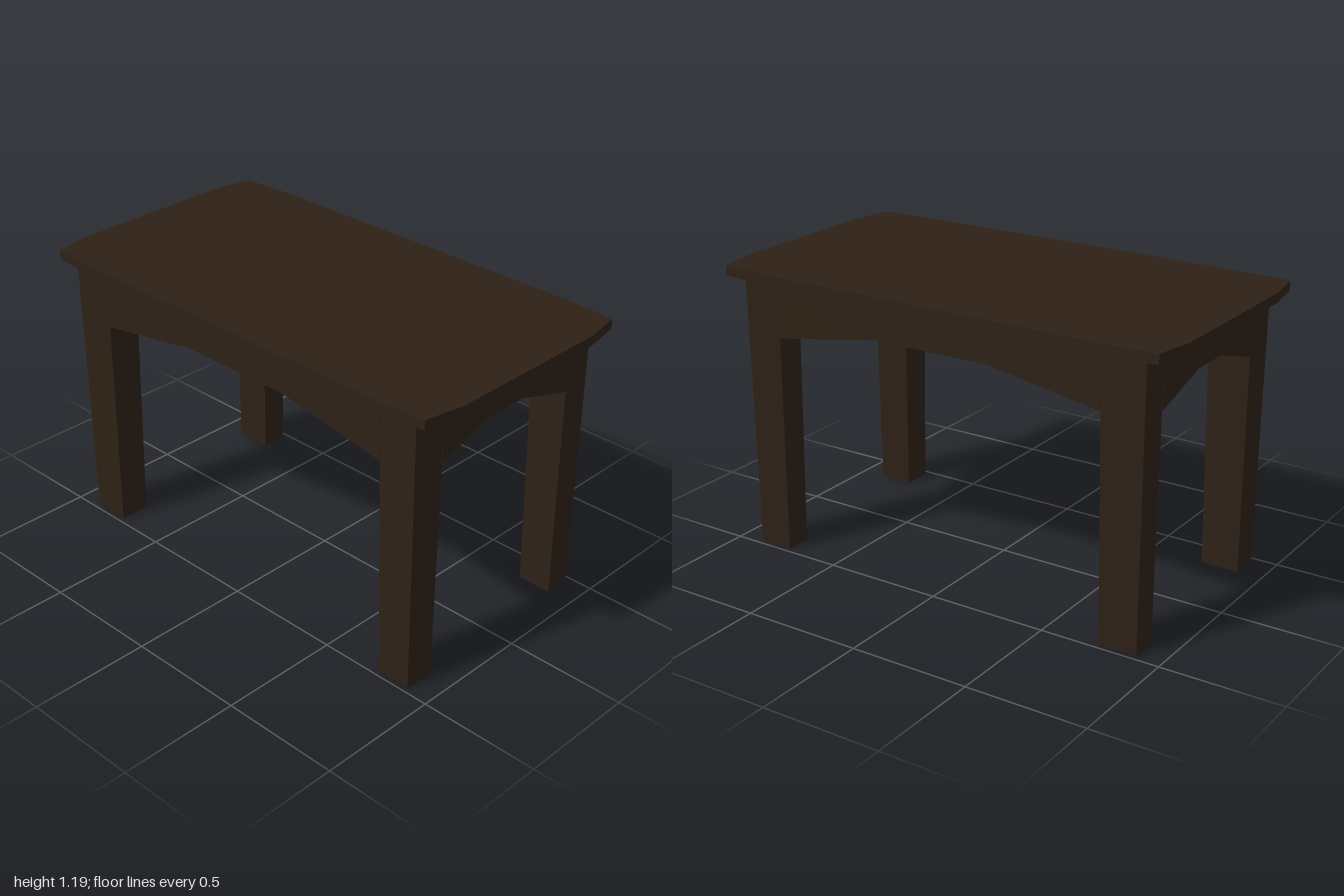
import * as THREE from 'three';

const wood = new THREE.MeshStandardMaterial({ color: 0x2e2116, flatShading: true });

const LEG_TOP = 1.15, SPRING = 0.92, CROWN = 1.0, CEILING = 1.04;

function add(parent, name, geometry) {
  const mesh = new THREE.Mesh(geometry, wood);
  mesh.name = name;
  parent.add(mesh);
  return mesh;
}

// Four-sided post whose rectangle [x0, x1, z0, z1] changes from bottom to top
function taperedPost(bottom, top, height) {
  const geo = new THREE.BoxGeometry(1, height, 1).translate(0, height / 2, 0);
  const p = geo.attributes.position;
  for (let i = 0; i < p.count; i++) {
    const r = p.getY(i) > height / 2 ? top : bottom;
    p.setX(i, p.getX(i) < 0 ? r[0] : r[1]);
    p.setZ(i, p.getZ(i) < 0 ? r[2] : r[3]);
  }
  geo.computeVertexNormals();
  return geo;
}

// Board from a to b with a three-segment arch cut into its lower edge
function archedBoard(a, b, crownA, crownB, depth) {
  const shape = new THREE.Shape([
    [a, SPRING], [crownA, CROWN], [crownB, CROWN], [b, SPRING], [b, LEG_TOP], [a, LEG_TOP],
  ].map(([u, v]) => new THREE.Vector2(u, v)));
  return new THREE.ExtrudeGeometry(shape, { depth, bevelEnabled: false });
}

export function createModel() {
  const table = new THREE.Group();
  table.name = 'table';

  // Tabletop with softly clipped corners
  const outline = [
    [1, 0.35], [0.97, 0.52], [0.75, 0.533], [-0.75, 0.533], [-0.97, 0.52], [-1, 0.35],
    [-1, -0.36], [-0.97, -0.52], [-0.75, -0.533], [0.75, -0.533], [0.97, -0.52], [1, -0.36],
  ].map(([x, z]) => new THREE.Vector2(x, -z));
  const top = new THREE.ExtrudeGeometry(new THREE.Shape(outline.reverse()), { depth: 0.04, bevelEnabled: false });
  top.rotateX(-Math.PI / 2).translate(0, LEG_TOP, 0);
  add(table, 'tabletop', top);

  // Legs, slightly tapered towards the floor: [outer, inner] spans at floor and top
  const xSpans = [
    { name: 'Left', bottom: [0.748, 0.893], top: [0.737, 0.903] },
    { name: 'Right', bottom: [-0.895, -0.735], top: [-0.905, -0.724] },
  ];
  const zSpans = [
    { name: 'front', bottom: [0.35, 0.477], top: [0.338, 0.485] },
    { name: 'back', bottom: [-0.477, -0.366], top: [-0.483, -0.359] },
  ];
  for (const z of zSpans) {
    for (const x of xSpans) {
      add(table, `${z.name}${x.name}Leg`,
        taperedPost([...x.bottom, ...z.bottom], [...x.top, ...z.top], LEG_TOP));
    }
  }

  // Long aprons between the legs, front and back
  for (const z of zSpans) {
    const geo = archedBoard(-0.726, 0.739, -0.25, 0.26, z.top[1] - z.top[0]);
    add(table, `${z.name}Apron`, geo.translate(0, 0, z.top[0]));
  }

  // Short aprons at both ends
  for (const x of xSpans) {
    const geo = archedBoard(-0.341, 0.36, -0.08, 0.095, x.top[1] - x.top[0]);
    geo.rotateY(Math.PI / 2).translate(x.top[0], 0, 0);
    add(table, `end${x.name}Apron`, geo);
  }

  // Panel closing the underside between the aprons
  const panel = new THREE.BoxGeometry(1.47, LEG_TOP - CEILING, 0.705);
  add(table, 'undersidePanel', panel.translate(0.006, (LEG_TOP + CEILING) / 2, -0.01));

  return table;
}
